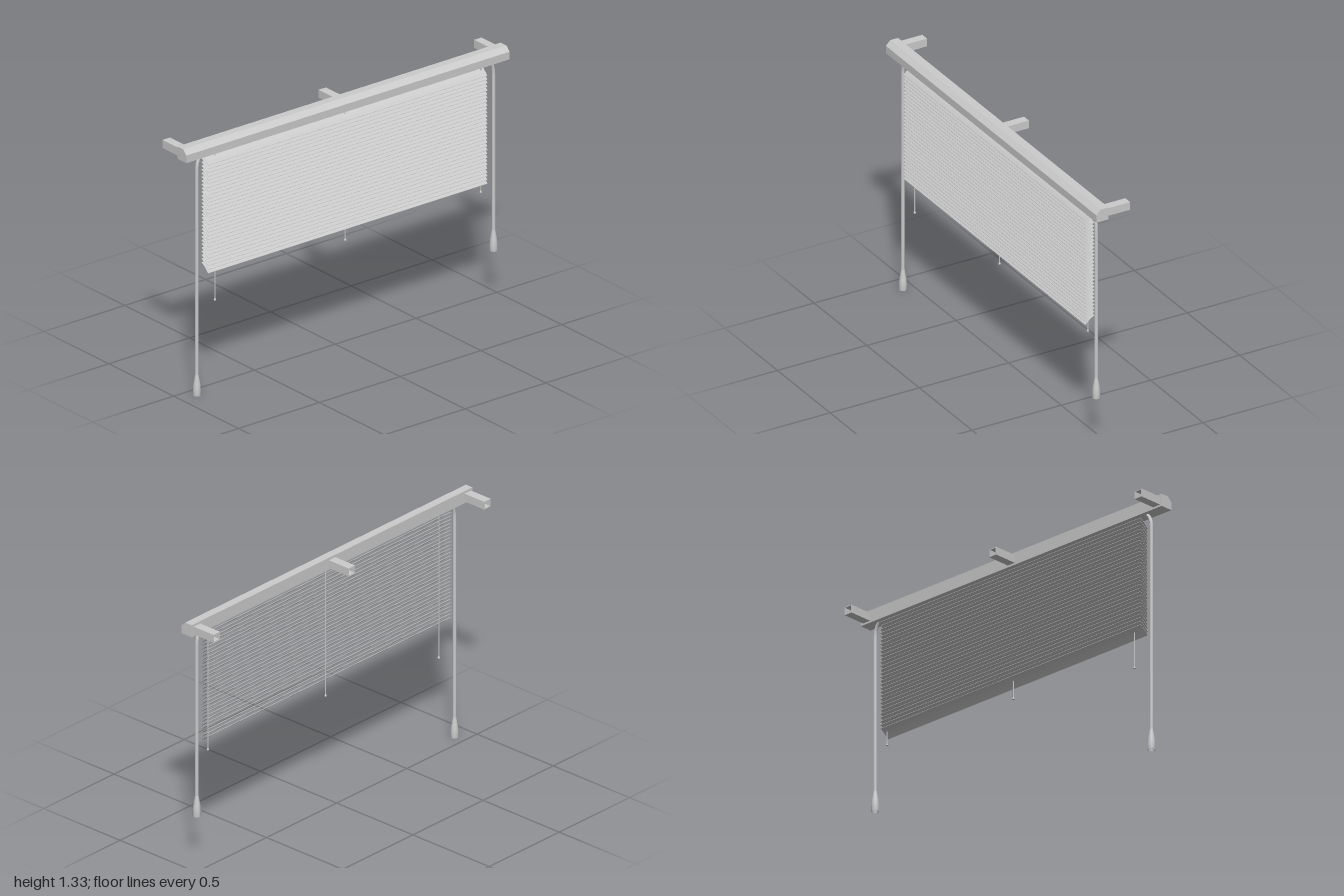
import * as THREE from 'three';

const material = new THREE.MeshStandardMaterial({ color: 0xcccccc, side: THREE.DoubleSide });
const flatMaterial = new THREE.MeshStandardMaterial({ color: 0xcccccc, side: THREE.DoubleSide, flatShading: true });

const rail = { back: 0.03, front: 0.098, bottom: 1.26, top: 1.325 };
const slat = { x0: -0.855, x1: 0.873, back: 0.034, front: 0.085, drop: 0.04, thickness: 0.002 };
const blind = { bottom: 0.635, top: 1.245, count: 30 };
const rodZ = 0.059;

function add(parent, name, geometry, mat = material) {
  const mesh = new THREE.Mesh(geometry, mat);
  mesh.name = name;
  parent.add(mesh);
  return mesh;
}

// Extrudes a (z, y) outline along x from x0 to x1
function extrudeAlongX(points, x0, x1) {
  const shape = new THREE.Shape(points.map(([z, y]) => new THREE.Vector2(-z, y)));
  const geometry = new THREE.ExtrudeGeometry(shape, { depth: x1 - x0, bevelEnabled: false });
  return geometry.rotateY(Math.PI / 2).translate(x0, 0, 0);
}

// Square tube, open at the wall end
function bracketGeometry() {
  const box = (w, h) => [[-w, -h], [w, -h], [w, h], [-w, h]].map(([x, y]) => new THREE.Vector2(x, y));
  const shape = new THREE.Shape(box(0.023, 0.021));
  shape.holes.push(new THREE.Path(box(0.019, 0.017).reverse()));
  return new THREE.ExtrudeGeometry(shape, { depth: rail.back + 0.1, bevelEnabled: false });
}

// Tilted slat with a slightly crowned cross-section
function slatGeometry() {
  const upper = [], lower = [];
  for (let i = 0; i <= 4; i++) {
    const t = i / 4;
    const z = slat.back + (slat.front - slat.back) * t;
    const y = slat.drop * (1 - t) + 0.005 * Math.sin(Math.PI * t);
    upper.push([z, y]);
    lower.unshift([z, y - slat.thickness]);
  }
  return extrudeAlongX([...upper, ...lower], slat.x0, slat.x1);
}

// Hanging rod that bends inward below the rail and ends in a flared grip
function makeRod(name, x, side, bottom) {
  const group = new THREE.Group();
  group.name = name;
  const path = new THREE.CurvePath();
  const v = (px, py) => new THREE.Vector3(px, py, rodZ);
  const bend = v(x, 1.18);
  path.add(new THREE.LineCurve3(v(x, bottom + 0.08), bend));
  path.add(new THREE.CubicBezierCurve3(bend, v(x, 1.23), v(x - side * 0.012, 1.25), v(x - side * 0.037, 1.268)));
  add(group, 'rodTube', new THREE.TubeGeometry(path, 80, 0.009, 12));
  const profile = [[0.014, 0.03], [0.016, 0], [0.0195, 0], [0.0195, 0.035], [0.017, 0.06], [0.011, 0.095], [0.009, 0.11]];
  const grip = add(group, 'rodGrip', new THREE.LatheGeometry(profile.map(([r, y]) => new THREE.Vector2(r, y)), 16));
  grip.position.set(x, bottom, rodZ);
  return group;
}

// Lift cord with a small pull at its end
function makeCord(x, bottom) {
  const group = new THREE.Group();
  group.name = 'liftCord';
  const length = rail.bottom - bottom;
  add(group, 'cord', new THREE.CylinderGeometry(0.0028, 0.0028, length, 8)).position.set(x, bottom + length / 2, rodZ);
  add(group, 'cordPull', new THREE.CylinderGeometry(0.003, 0.0065, 0.01, 10)).position.set(x, bottom + 0.005, rodZ);
  return group;
}

export function createModel() {
  const model = new THREE.Group();
  model.name = 'windowBlind';

  // Head rail with chamfered front edge
  add(model, 'headRail', extrudeAlongX([
    [rail.back, rail.bottom], [rail.front, rail.bottom], [rail.front, 1.3],
    [0.073, rail.top], [rail.back, rail.top],
  ], -1, 1), flatMaterial);

  // Wall brackets
  for (const x of [-0.966, 0, 0.962]) {
    add(model, 'wallBracket', bracketGeometry(), flatMaterial).position.set(x, 1.291, -0.1);
  }

  // Stack of slats
  const slats = new THREE.Group();
  slats.name = 'slats';
  const geometry = slatGeometry();
  const pitch = (blind.top - slat.drop - blind.bottom - slat.thickness) / (blind.count - 1);
  for (let i = 0; i < blind.count; i++) {
    add(slats, 'slat', geometry, flatMaterial).position.y = blind.bottom + slat.thickness + i * pitch;
  }
  model.add(slats);

  // Lift cords at uneven lengths
  for (const [x, bottom] of [[-0.792, 0.47], [0.014, 0.565], [0.853, 0.587]]) model.add(makeCord(x, bottom));

  // Control rods at either end
  model.add(makeRod('rightRod', -0.904, -1, 0));
  model.add(makeRod('leftRod', 0.932, 1, 0.26));
  return model;
}
